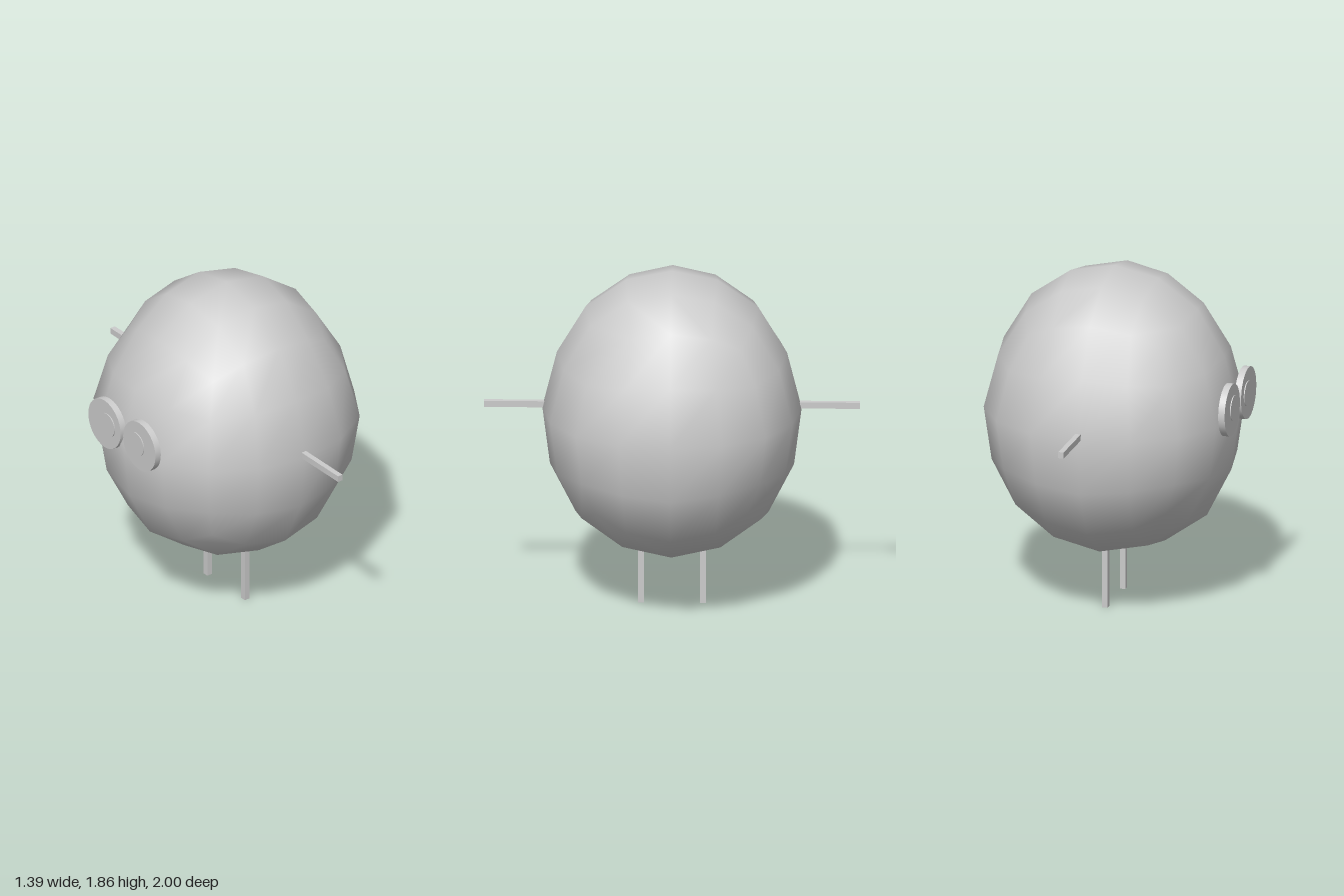
import * as THREE from 'three';
import { mergeVertices } from 'three/addons/utils/BufferGeometryUtils.js';

const grey = new THREE.MeshStandardMaterial({ color: 0xcccccc });

function addMesh(group, name, geometry, x, y, z) {
  const mesh = new THREE.Mesh(geometry, grey);
  mesh.name = name;
  mesh.position.set(x, y, z);
  group.add(mesh);
  return mesh;
}

// Where each kind of grid point of a 4x4x4 cube lands once the cube is rounded.
// Key: sorted grid coordinates (0..2); value: new coordinate for each grid coordinate.
const rounded = {
  '002': { 0: 0, 2: 0.8785 },
  '012': { 0: 0, 1: 0.3505, 2: 0.8195 },
  '022': { 0: 0, 2: 0.643 },
  '112': { 1: 0.326, 2: 0.764 },
  '122': { 1: 0.302, 2: 0.599 },
  '222': { 2: 0.509 },
};

// Rounded cube, stretched upwards and narrowed towards the top
function eggGeometry() {
  let geometry = new THREE.BoxGeometry(4, 4, 4, 4, 4, 4);
  geometry.deleteAttribute('uv');
  geometry.deleteAttribute('normal');
  geometry = mergeVertices(geometry);
  const pos = geometry.attributes.position;
  for (let i = 0; i < pos.count; i++) {
    const grid = [pos.getX(i), pos.getY(i), pos.getZ(i)].map(Math.round);
    const table = rounded[grid.map(Math.abs).sort().join('')];
    const [x, y, z] = grid.map((c) => Math.sign(c) * table[Math.abs(c)]);
    const width = 0.785 * (y > 0 ? 1 - 0.14 * y : 1 - 0.025 * y);
    const lift = 0.02 * (1 - (y / 0.8785) ** 2);
    pos.setXYZ(i, x * width, y * 0.8936 + lift, z * width);
  }
  geometry.computeVertexNormals();
  return geometry;
}

export function createModel() {
  const model = new THREE.Group();
  model.name = 'eggFigure';

  addMesh(model, 'body', eggGeometry(), 0.004, 1.075, 0);

  for (const side of [-1, 1]) {
    const label = side > 0 ? 'Front' : 'Back';

    // Thin square limbs
    addMesh(model, 'leg' + label, new THREE.BoxGeometry(0.03, 0.32, 0.032), 0.003, 0.16, side * 0.165);
    addMesh(model, 'arm' + label, new THREE.BoxGeometry(0.03, 0.034, 0.36), 0.003, 1.112, side * 0.82);

    // Disc eyes on the -x side, pupils turned slightly inward
    const eye = addMesh(model, 'eye' + label, new THREE.CylinderGeometry(0.142, 0.142, 0.036, 32), -0.677, 1.163, side * 0.153);
    const pupil = addMesh(model, 'pupil' + label, new THREE.CylinderGeometry(0.068, 0.068, 0.03, 32), -0.685, 1.167, side * 0.128);
    eye.rotation.z = pupil.rotation.z = Math.PI / 2;
  }
  return model;
}
